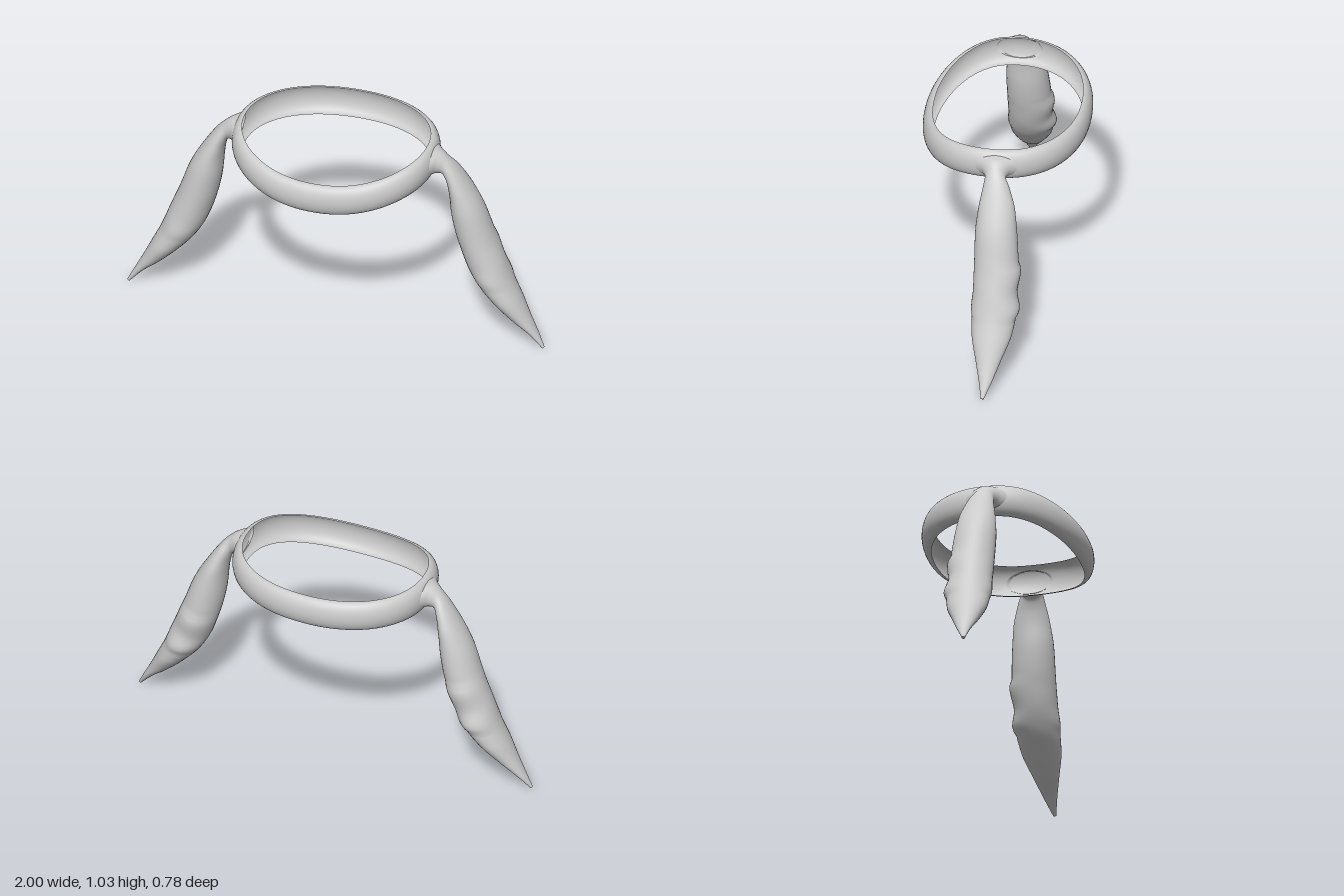
import * as THREE from 'three';
import { mergeVertices } from 'three/addons/utils/BufferGeometryUtils.js';

const material = new THREE.MeshStandardMaterial({ color: 0xcccccc, side: THREE.DoubleSide });

// Smooth surface from a function of two 0..1 parameters
function surface(nu, nv, pointAt) {
  const geometry = new THREE.PlaneGeometry(1, 1, nu, nv);
  const pos = geometry.attributes.position;
  for (let j = 0, k = 0; j <= nv; j++) {
    for (let i = 0; i <= nu; i++, k++) pos.setXYZ(k, ...pointAt(i / nu, j / nv));
  }
  geometry.deleteAttribute('uv');
  geometry.deleteAttribute('normal');
  const merged = mergeVertices(geometry, 1e-5);
  merged.computeVertexNormals();
  return merged;
}

const signedPow = (v, p) => Math.sign(v) * Math.abs(v) ** p;

// Oval band, open towards the inside, dipping at the front
function bandPoint(u, v) {
  const t = u * Math.PI * 2;
  const a = (0.5 - v) * Math.PI * 1.06;
  const c = signedPow(Math.cos(t), 0.93), s = signedPow(Math.sin(t), 0.93);
  const bulge = 0.042 * Math.cos(a);
  const dip = 0.07 * Math.max(0, -s) ** 2.3;
  return [
    (0.443 + bulge) * c,
    0.947 + 0.003 * Math.cos(2 * t) - dip + 0.076 * Math.sin(a),
    -(0.348 + bulge) * s,
  ];
}

// Ear stations: outer x, outer y, inner x, inner y, front z, back z
const stations = [
  [0.462, 1.012, 0.468, 0.895, 0.11, -0.11],
  [0.50, 1.002, 0.487, 0.893, 0.065, -0.065],
  [0.535, 0.975, 0.512, 0.89, 0.047, -0.05],
  [0.575, 0.93, 0.528, 0.86, 0.052, -0.07],
  [0.64, 0.83, 0.542, 0.79, 0.068, -0.10],
  [0.70, 0.72, 0.553, 0.67, 0.08, -0.115],
  [0.75, 0.58, 0.58, 0.54, 0.08, -0.125],
  [0.80, 0.45, 0.628, 0.40, 0.08, -0.125],
  [0.845, 0.33, 0.68, 0.31, 0.08, -0.125],
  [0.885, 0.245, 0.745, 0.235, 0.075, -0.11],
  [0.93, 0.15, 0.83, 0.15, 0.05, -0.07],
  [0.97, 0.07, 0.92, 0.075, 0.027, -0.035],
  [1.0, 0.01, 0.99, 0.0, 0.012, -0.002],
];
const curve = (pick) => new THREE.CatmullRomCurve3(stations.map(pick));
const outerCurve = curve((s) => new THREE.Vector3(s[0], s[1], 0));
const innerCurve = curve((s) => new THREE.Vector3(s[2], s[3], 0));
const widthCurve = curve((s) => new THREE.Vector3(s[4], s[5], 0));

// Lens-like cross-sections between the outer and inner outlines
function earPoint(side) {
  return (u, v) => {
    const o = outerCurve.getPoint(v), i = innerCurve.getPoint(v), w = widthCurve.getPoint(v);
    const a = u * Math.PI * 2 * side;
    const p = i.lerp(o, 0.5 + 0.5 * Math.cos(a));
    const mid = (w.x + w.y) / 2, half = (w.x - w.y) / 2;
    return [side * p.x, p.y, mid + half * Math.sin(a)];
  };
}

// Small cap that closes the ear tip
function tipPoint(side) {
  const rim = earPoint(side);
  return (u, v) => {
    const p = rim(u, 1);
    const c = [side * 0.995, 0.005, 0.005];
    return p.map((value, k) => value + (c[k] - value) * v);
  };
}

export function createModel() {
  const group = new THREE.Group();
  const add = (name, geometry) => {
    const mesh = new THREE.Mesh(geometry, material);
    mesh.name = name;
    group.add(mesh);
  };

  add('headBand', surface(96, 16, bandPoint));
  for (const [name, side] of [['left', 1], ['right', -1]]) {
    add(name + 'Ear', surface(32, 64, earPoint(side)));
    add(name + 'EarTip', surface(32, 1, tipPoint(side)));
  }
  return group;
}
